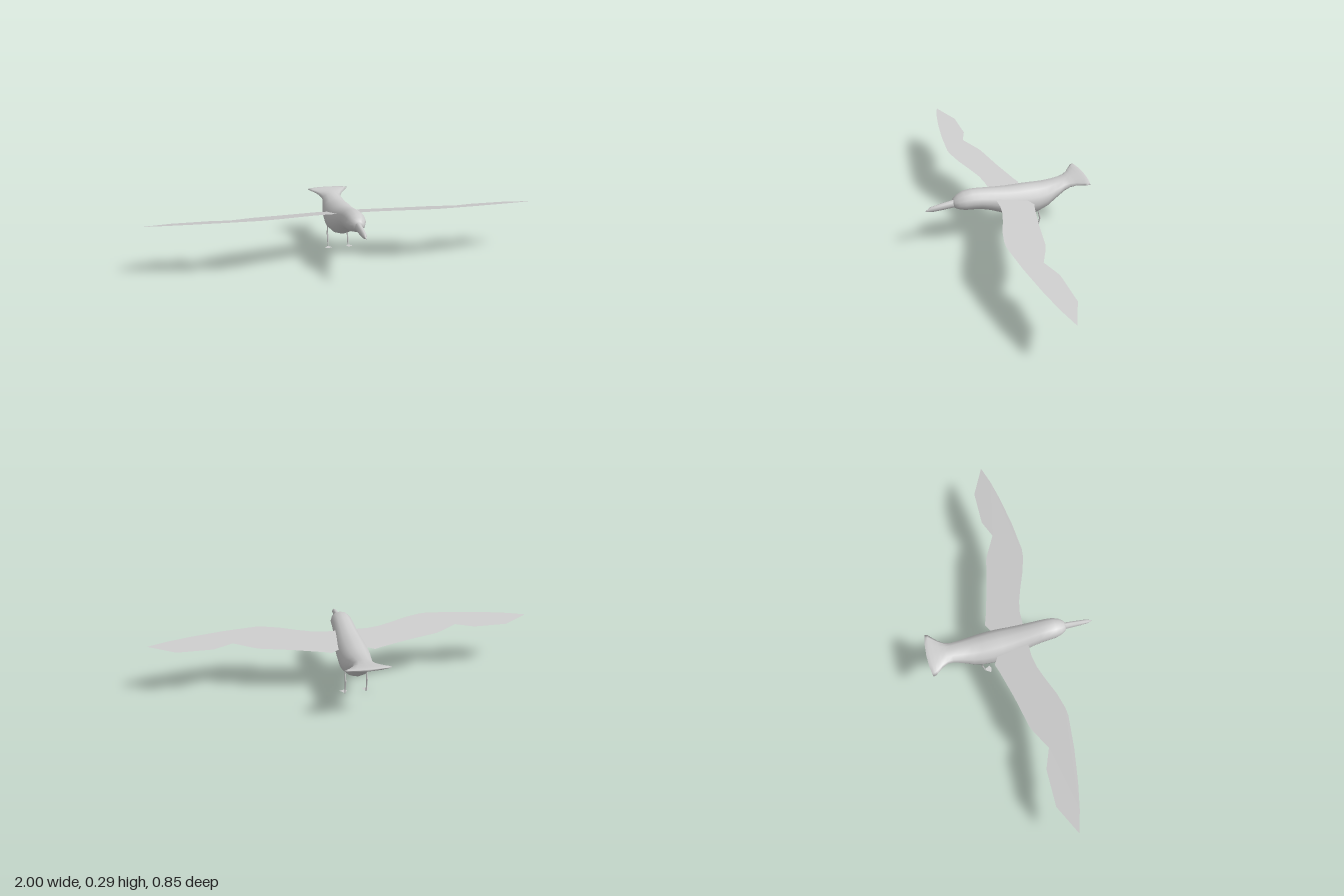
import * as THREE from 'three';

const grey = () => new THREE.MeshStandardMaterial({ color: 0xcccccc, side: THREE.DoubleSide });

// Smooth skin over elliptical rings [z, bottom y, top y, half width], listed front to back
function loft(name, rings, sides, bend = (x, z) => z) {
  const pos = [], index = [];
  for (const [z, y0, y1, w] of rings) {
    for (let i = 0; i < sides; i++) {
      const a = (i / sides) * Math.PI * 2;
      const x = w * Math.sin(a);
      pos.push(x, (y0 + y1) / 2 + ((y1 - y0) / 2) * Math.cos(a), bend(x, z));
    }
  }
  for (let r = 0; r < rings.length - 1; r++) {
    for (let i = 0; i < sides; i++) {
      const a = r * sides + i, b = r * sides + ((i + 1) % sides);
      index.push(a, a + sides, b, b, a + sides, b + sides);
    }
  }
  // Close both ends with a centre point
  [0, rings.length - 1].forEach((r, end) => {
    const [z, y0, y1] = rings[r], c = pos.length / 3;
    pos.push(0, (y0 + y1) / 2, z);
    for (let i = 0; i < sides; i++) {
      const a = r * sides + i, b = r * sides + ((i + 1) % sides);
      if (end) index.push(c, b, a);
      else index.push(c, a, b);
    }
  });
  const geo = new THREE.BufferGeometry();
  geo.setAttribute('position', new THREE.Float32BufferAttribute(pos, 3));
  geo.setIndex(index);
  geo.computeVertexNormals();
  const mesh = new THREE.Mesh(geo, grey());
  mesh.name = name;
  return mesh;
}

// Straight leg bone between two points
function bone(name, from, to, r0, r1) {
  const a = new THREE.Vector3(...from), b = new THREE.Vector3(...to);
  const mesh = new THREE.Mesh(new THREE.CylinderGeometry(r1, r0, a.distanceTo(b), 6), grey());
  mesh.position.copy(a).lerp(b, 0.5);
  mesh.quaternion.setFromUnitVectors(new THREE.Vector3(0, 1, 0), b.sub(a).normalize());
  mesh.name = name;
  return mesh;
}

// Thin flat sheet from an [x, z] outline, tilted by y = height + slope * z
function sheet(name, outline, height, slope) {
  const shape = new THREE.Shape(outline.map(([x, z]) => new THREE.Vector2(x, -z)));
  const geo = new THREE.ShapeGeometry(shape);
  const p = geo.attributes.position;
  for (let i = 0; i < p.count; i++) {
    const z = -p.getY(i);
    p.setXYZ(i, p.getX(i), height + slope * z, z);
  }
  geo.computeVertexNormals();
  const mesh = new THREE.Mesh(geo, grey());
  mesh.name = name;
  return mesh;
}

export function createModel() {
  const bird = new THREE.Group();
  bird.name = 'bird';

  // Head, body and flared tail in one skin; the tail edge curves slightly
  bird.add(loft('body', [
    [0.287, 0.227, 0.253, 0.015],
    [0.28, 0.215, 0.263, 0.028],
    [0.26, 0.205, 0.277, 0.042],
    [0.23, 0.195, 0.29, 0.052],
    [0.19, 0.19, 0.293, 0.056],
    [0.15, 0.183, 0.289, 0.058],
    [0.1, 0.165, 0.281, 0.062],
    [0.05, 0.14, 0.273, 0.068],
    [0, 0.116, 0.266, 0.075],
    [-0.05, 0.098, 0.262, 0.08],
    [-0.1, 0.09, 0.259, 0.082],
    [-0.15, 0.095, 0.254, 0.08],
    [-0.2, 0.113, 0.25, 0.073],
    [-0.25, 0.15, 0.252, 0.062],
    [-0.3, 0.188, 0.255, 0.053],
    [-0.33, 0.208, 0.256, 0.056],
    [-0.36, 0.225, 0.258, 0.073],
    [-0.39, 0.239, 0.26, 0.1],
    [-0.41, 0.246, 0.261, 0.109],
    [-0.427, 0.25, 0.26, 0.112],
  ], 12, (x, z) => (z < -0.4 ? z + x * x : z)));

  // Beak
  bird.add(loft('beak', [
    [0.26, 0.216, 0.262, 0.019],
    [0.29, 0.215, 0.257, 0.017],
    [0.35, 0.213, 0.25, 0.014],
    [0.4, 0.214, 0.242, 0.011],
    [0.427, 0.221, 0.225, 0.002],
  ], 8));

  // Wing outline: trailing edge out to the tip, then back along the leading edge
  const wing = [
    [0.04, -0.07], [0.08, -0.088], [0.11, -0.106], [0.15, -0.092], [0.3, -0.052],
    [0.46, -0.017], [0.49, -0.004], [0.585, 0.047], [0.68, 0.01], [0.86, 0.01],
    [1, 0.08], [0.9, 0.11], [0.78, 0.135], [0.62, 0.16], [0.46, 0.175],
    [0.42, 0.171], [0.34, 0.15], [0.25, 0.115], [0.18, 0.091], [0.12, 0.08], [0.04, 0.08],
  ];
  const foot = [[0.055, -0.154], [0.077, -0.122], [0.055, -0.114], [0.038, -0.122]];

  for (const [side, s] of [['left', 1], ['right', -1]]) {
    const w = sheet(side + 'Wing', wing, 0.23, 0.205);
    w.scale.x = s;
    bird.add(w);

    const leg = new THREE.Group();
    leg.name = side + 'Leg';
    leg.add(
      bone('thigh', [0.055, 0.13, -0.15], [0.055, 0.073, -0.163], 0.0025, 0.0045),
      bone('shin', [0.055, 0.075, -0.163], [0.055, 0, -0.148], 0.0045, 0.003),
      sheet('foot', foot, 0.002, 0),
    );
    leg.scale.x = s;
    bird.add(leg);
  }
  return bird;
}
